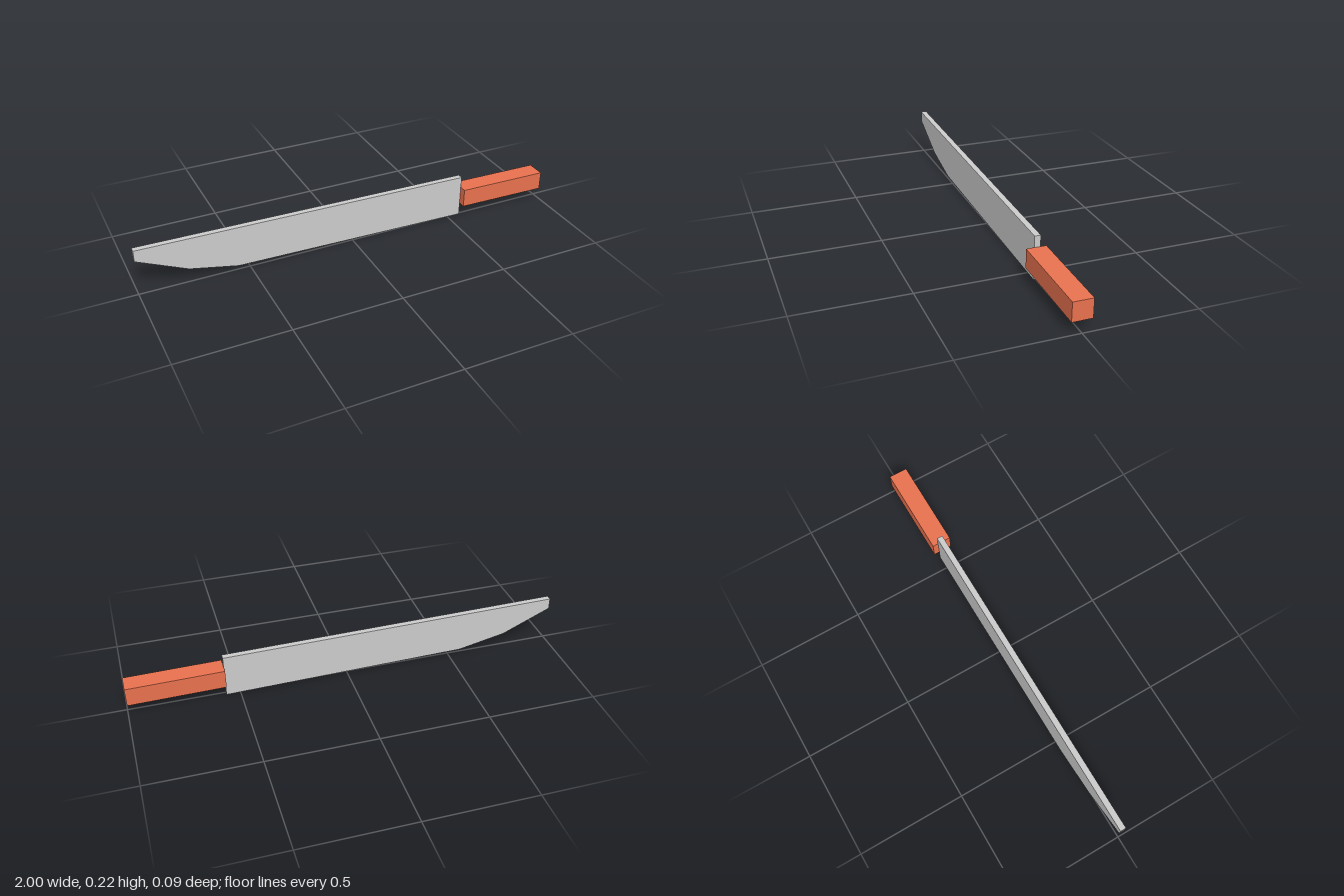
import * as THREE from 'three';

const TILT = -0.0146; // the whole knife slopes slightly down toward the handle

export function createModel() {
  const group = new THREE.Group();

  // Blade: flat slab with a straight spine and an angled, blunt tip
  const outline = [
    [-1, 0.224], [-1, 0.172], [-0.775, 0.07], [-0.555, 0.023],
    [0.564, 0], [0.567, 0.2],
  ].map(([x, y]) => new THREE.Vector2(x, y));
  const bladeGeo = new THREE.ExtrudeGeometry(new THREE.Shape(outline), {
    depth: 0.027, bevelEnabled: false,
  });
  bladeGeo.translate(0, 0, -0.018);
  const blade = new THREE.Mesh(
    bladeGeo,
    new THREE.MeshStandardMaterial({ color: 0xcccccc, flatShading: true }),
  );
  blade.name = 'blade';
  group.add(blade);

  // Handle: plain square bar butted against the blade
  const handle = new THREE.Mesh(
    new THREE.BoxGeometry(0.435, 0.087, 0.089),
    new THREE.MeshStandardMaterial({ color: 0xe8714f, flatShading: true }),
  );
  handle.name = 'handle';
  handle.position.set(0.782, 0.1015, 0);
  handle.rotation.z = TILT;
  group.add(handle);

  return group;
}
